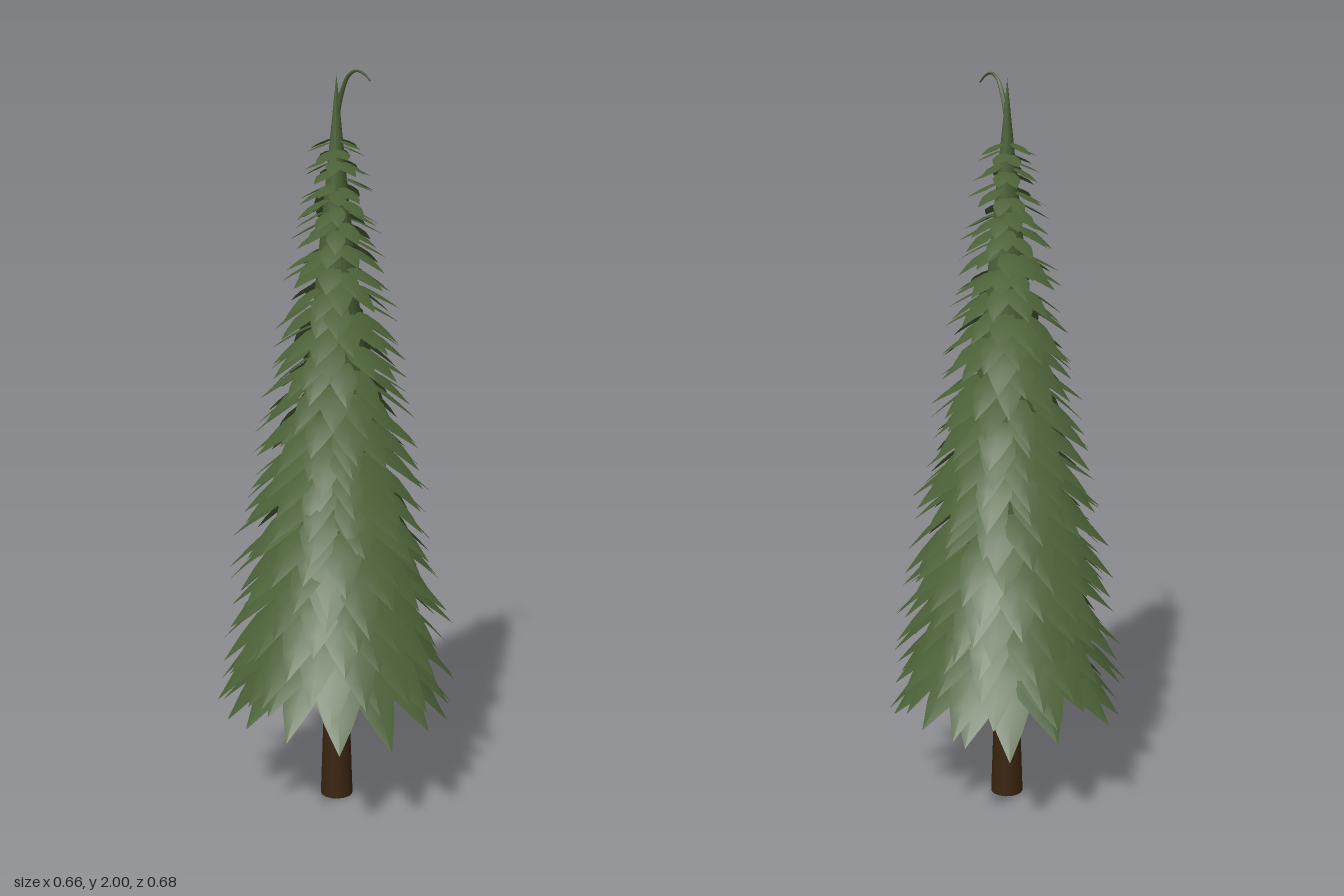
import * as THREE from 'three';
import { mergeGeometries } from 'three/addons/utils/BufferGeometryUtils.js';

const needleGreen = new THREE.MeshStandardMaterial({ color: 0x4a5f36, side: THREE.DoubleSide });
needleGreen.name = 'needle green';
const barkBrown = new THREE.MeshStandardMaterial({ color: 0x3a2410 });
barkBrown.name = 'bark brown';

// Small seeded generator, gives -1..1
let seed = 7;
function jitter() {
  seed = (seed * 16807) % 2147483647;
  return (seed / 2147483647) * 2 - 1;
}

const CORE_BASE = 0.44, CORE_TOP = 1.985, CORE_RADIUS = 0.16;
const coreRadius = y => CORE_RADIUS * (CORE_TOP - y) / (CORE_TOP - CORE_BASE);

// One pointed bough: cross-sections of three points, arching out along +z and down
function boughGeometry(inner, outer, drop, width) {
  const sections = [[0, 0.5], [0.25, 0.85], [0.5, 1], [0.75, 0.58], [1, 0.015]];
  const pos = [], index = [];
  sections.forEach(([s, w], i) => {
    const z = inner + (outer - inner) * s;
    const y = -drop * Math.pow(s, 1.35);
    const half = width * w / 2;
    pos.push(-half, y - half * 0.18, z, 0, y, z, half, y - half * 0.18, z);
    if (i === 0) return;
    const b = i * 3, a = b - 3;
    for (const k of [0, 1]) {
      index.push(a + k, b + k, a + k + 1, b + k, b + k + 1, a + k + 1);
    }
  });
  const g = new THREE.BufferGeometry();
  g.setAttribute('position', new THREE.Float32BufferAttribute(pos, 3));
  g.setIndex(index);
  g.computeVertexNormals();
  return g;
}

// A ring of boughs at height fraction t (0 lowest, 1 highest)
function boughRing(t, row) {
  const count = Math.round(15 - 5 * t);
  const baseY = 0.47 + 1.34 * t;
  const reach = 0.34 - 0.26 * Math.pow(t, 1.2);
  const parts = [];
  for (let i = 0; i < count; i++) {
    const angle = ((i + 0.2 * jitter()) / count) * Math.PI * 2 + row * 2.4;
    const outer = reach * (0.95 + 0.08 * jitter());
    const drop = (0.2 - 0.175 * t) * (1 + 0.14 * jitter());
    const width = (0.125 - 0.085 * t) * (1 + 0.12 * jitter());
    const g = boughGeometry(coreRadius(baseY) * 0.75, outer, drop, width);
    g.rotateY(angle);
    g.translate(0, baseY + 0.018 * jitter(), 0);
    parts.push(g);
  }
  return mergeGeometries(parts);
}

// Drooping leader: a tapering tube bending toward the front
function leaderGeometry() {
  const path = new THREE.CatmullRomCurve3([
    [0, 1.88, 0], [0, 1.94, 0.018], [0, 1.982, 0.04],
    [0, 1.995, 0.065], [0, 1.988, 0.09], [0, 1.97, 0.112],
  ].map(p => new THREE.Vector3(...p)));
  const segments = 16, sides = 6;
  const g = new THREE.TubeGeometry(path, segments, 0.008, sides, false);
  const p = g.attributes.position, v = new THREE.Vector3();
  for (let i = 0; i < p.count; i++) {
    const u = Math.floor(i / (sides + 1)) / segments;
    const c = path.getPointAt(u);
    v.fromBufferAttribute(p, i).sub(c).multiplyScalar(1 - 0.75 * u).add(c);
    p.setXYZ(i, v.x, v.y, v.z);
  }
  g.computeVertexNormals();
  return g;
}

export function createModel() {
  const tree = new THREE.Group();
  tree.name = 'conifer';
  const add = (name, geometry, material) => {
    const mesh = new THREE.Mesh(geometry, material);
    mesh.name = name;
    tree.add(mesh);
    return mesh;
  };

  // Trunk
  add('trunk', new THREE.CylinderGeometry(0.028, 0.045, 0.5, 16), barkBrown).position.y = 0.25;

  // Dense inner foliage ending in the spire
  const coreHeight = CORE_TOP - CORE_BASE;
  add('foliageCore', new THREE.ConeGeometry(CORE_RADIUS, coreHeight, 20), needleGreen)
    .position.y = CORE_BASE + coreHeight / 2;

  // Overlapping rings of boughs
  const rows = 27;
  for (let r = 0; r < rows; r++) {
    add('boughRing' + (r + 1), boughRing(r / (rows - 1), r), needleGreen);
  }

  // Bent top shoot
  add('leader', leaderGeometry(), needleGreen);
  return tree;
}
